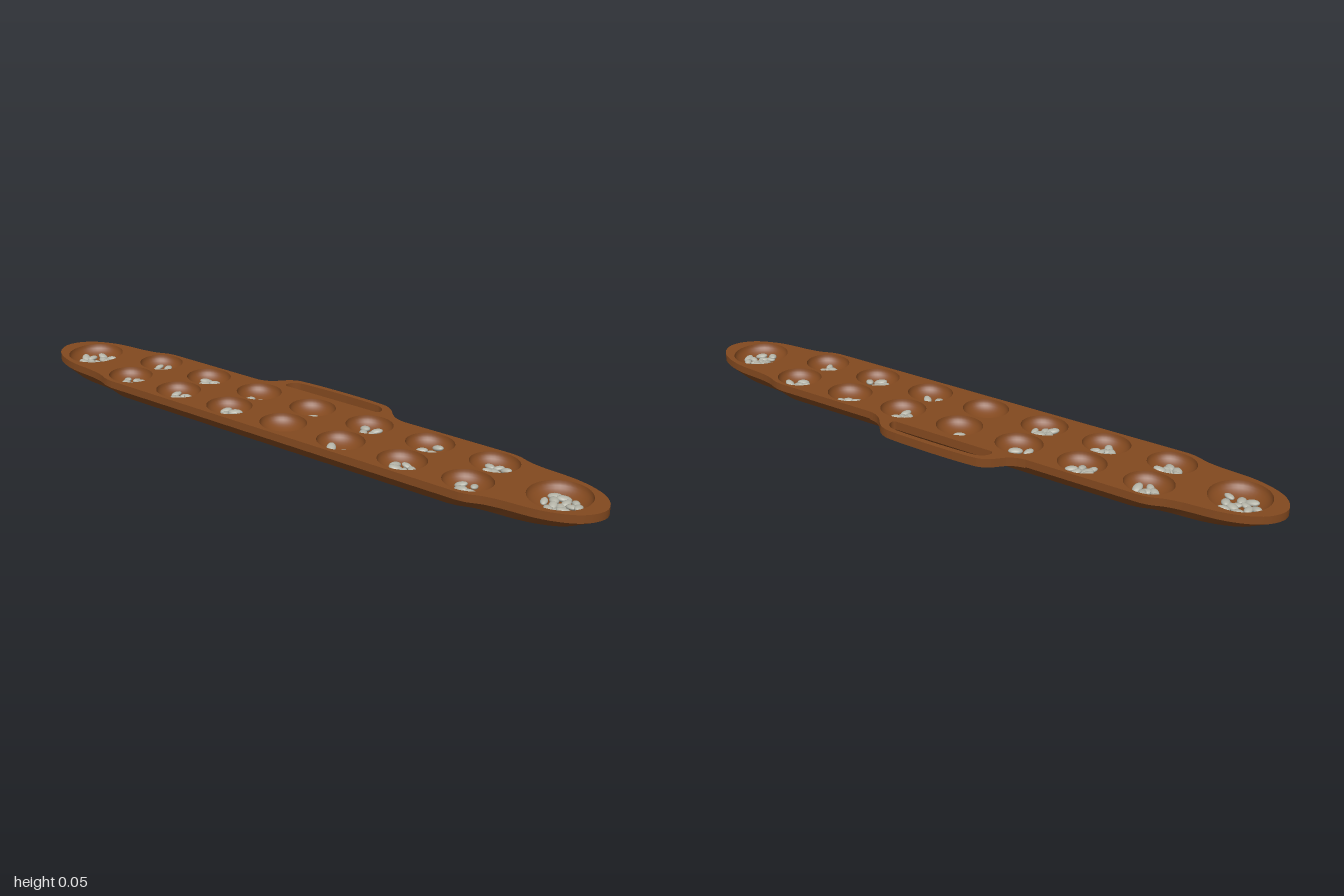
import * as THREE from 'three';
import { mergeGeometries } from 'three/addons/utils/BufferGeometryUtils.js';

const TOP = 0.055, EDGE = 0.031, CZ = 0.038;

const wood = new THREE.MeshStandardMaterial({ color: 0x83491f });
wood.name = 'brownWood';
const stone = new THREE.MeshStandardMaterial({ color: 0xb4b4a8 });
stone.name = 'greyStone';

// Small seeded generator for the scattered pebbles
let seed = 7;
const rand = () => (seed = (seed * 16807) % 2147483647) / 2147483647;

function part(parent, name, geometry, material) {
  const mesh = new THREE.Mesh(geometry, material);
  mesh.name = name;
  parent.add(mesh);
  return mesh;
}

// Board outline as [x, z] points, one rounded end mirrored to the other
function outline() {
  const quarter = [[0.64, 0.149], [0.67, 0.144], [0.71, 0.129], [0.76, 0.12], [0.85, 0.112],
    [0.91, 0.096], [0.96, 0.07], [0.99, 0.035]];
  const end = [...quarter, [1, 0], ...quarter.map(([x, z]) => [x, -z]).reverse()];
  const curve = new THREE.CatmullRomCurve3(end.map(([x, z]) => new THREE.Vector3(x, 0, z)), false, 'centripetal');
  const right = curve.getPoints(48).map(p => [p.x, p.z]);
  return [...right, ...right.map(([x, z]) => [-x, -z])].map(([x, z]) => [x, z + CZ]);
}

// Wall between two matching rings; rings run from +z over +x to -z
function band(lower, y0, upper, y1) {
  const positions = [], index = [], n = lower.length;
  for (let i = 0; i < n; i++) {
    positions.push(lower[i][0], y0, lower[i][1], upper[i][0], y1, upper[i][1]);
    const a = 2 * i, b = 2 * ((i + 1) % n);
    index.push(a, b, b + 1, a, b + 1, a + 1);
  }
  const g = new THREE.BufferGeometry();
  g.setAttribute('position', new THREE.Float32BufferAttribute(positions, 3));
  g.setIndex(index);
  g.computeVertexNormals();
  return g;
}

// Hollow bowl, its profile running from the rim to the centre of the floor
function bowl({ x, z, rx, rz, floor }) {
  const profile = [];
  for (let i = 0; i <= 10; i++) {
    const a = (i / 10) * Math.PI / 2;
    profile.push(new THREE.Vector2(i === 10 ? 0 : Math.cos(a), TOP - (TOP - floor) * Math.sin(a)));
  }
  return new THREE.LatheGeometry(profile, 40).scale(rx, 1, rz).translate(x, 0, z);
}

// Heap of flattened pebbles lying on a bowl floor
function heap({ x, z, count, floor, spread }) {
  const pebbles = [];
  for (let i = 0; i < count; i++) {
    const r = count === 1 ? 0 : spread * Math.sqrt((i + 0.4) / count);
    const a = i * 2.4 + rand() * 0.5;
    const size = 0.85 + rand() * 0.35;
    const g = new THREE.IcosahedronGeometry(1, 2);
    g.scale(0.019 * size, 0.0075 * size, 0.012 * size);
    g.rotateZ((rand() - 0.5) * 0.6);
    g.rotateY(rand() * Math.PI);
    g.translate(x + r * Math.cos(a), floor + 0.008 + r * 0.15 + (i % 3) * 0.002, z + r * Math.sin(a));
    pebbles.push(g);
  }
  return mergeGeometries(pebbles);
}

// Carrying handle: curved loop with a long slot
function handleGeometry() {
  const s = new THREE.Shape();
  s.moveTo(-0.28, 0.1);
  s.lineTo(-0.28, 0.111);
  s.bezierCurveTo(-0.21, 0.118, -0.22, 0.17, -0.16, 0.182);
  s.bezierCurveTo(-0.1, 0.19, 0.1, 0.19, 0.16, 0.182);
  s.bezierCurveTo(0.22, 0.17, 0.21, 0.118, 0.28, 0.111);
  s.lineTo(0.28, 0.1);
  s.closePath();
  const slot = new THREE.Path();
  slot.moveTo(-0.17, 0.122);
  slot.lineTo(0.17, 0.122);
  slot.bezierCurveTo(0.19, 0.125, 0.18, 0.158, 0.15, 0.166);
  slot.bezierCurveTo(0.1, 0.173, -0.1, 0.173, -0.15, 0.166);
  slot.bezierCurveTo(-0.18, 0.158, -0.19, 0.125, -0.17, 0.122);
  s.holes.push(slot);
  const g = new THREE.ExtrudeGeometry(s, { depth: TOP - 0.028, bevelEnabled: false, curveSegments: 14 });
  return g.rotateX(-Math.PI / 2).translate(0, 0.028, 0);
}

export function createModel() {
  const model = new THREE.Group();
  model.name = 'pitAndPebbleBoard';

  // Two rows of seven pits, and a store at each end
  const columns = [-0.63, -0.42, -0.21, 0, 0.21, 0.42, 0.63];
  const rows = [
    { z: -0.034, counts: [6, 7, 2, 1, 5, 3, 6] },
    { z: 0.108, counts: [6, 6, 7, 0, 2, 6, 5] },
  ];
  const pits = [];
  for (const { z, counts } of rows) {
    columns.forEach((x, i) => pits.push({
      name: 'pit', x, z, rx: 0.073, rz: 0.066, floor: 0.013, count: counts[i], spread: 0.034,
    }));
  }
  for (const [x, count] of [[-0.865, 11], [0.865, 14]]) {
    pits.push({ name: 'store', x, z: CZ, rx: 0.088, rz: 0.09, floor: 0.011, count, spread: 0.052 });
  }

  // Body walls, the lower one slanting in to the base
  const rim = outline();
  const base = rim.map(([x, z]) => [x * 0.94, CZ + (z - CZ) * 0.84]);
  const body = new THREE.Group();
  body.name = 'boardBody';
  model.add(body);
  part(body, 'upperWall', band(rim, EDGE, rim, TOP), wood);
  part(body, 'slantedWall', band(base, 0, rim, EDGE), wood);

  // Underside
  const baseShape = new THREE.Shape(base.map(([x, z]) => new THREE.Vector2(x, z)));
  part(body, 'underside', new THREE.ShapeGeometry(baseShape).rotateX(Math.PI / 2), wood);

  // Top face with a hole for every bowl
  const topShape = new THREE.Shape(rim.map(([x, z]) => new THREE.Vector2(x, -z)));
  for (const { x, z, rx, rz } of pits) {
    topShape.holes.push(new THREE.Path().absellipse(x, -z, rx, rz, 0, Math.PI * 2, true));
  }
  part(body, 'topFace', new THREE.ShapeGeometry(topShape, 20).rotateX(-Math.PI / 2).translate(0, TOP, 0), wood);

  // Bowls and their pebbles
  for (const pit of pits) {
    part(model, pit.name, bowl(pit), wood);
    if (pit.count) part(model, pit.name + 'Pebbles', heap(pit), stone);
  }

  part(model, 'handle', handleGeometry(), wood);
  return model;
}
